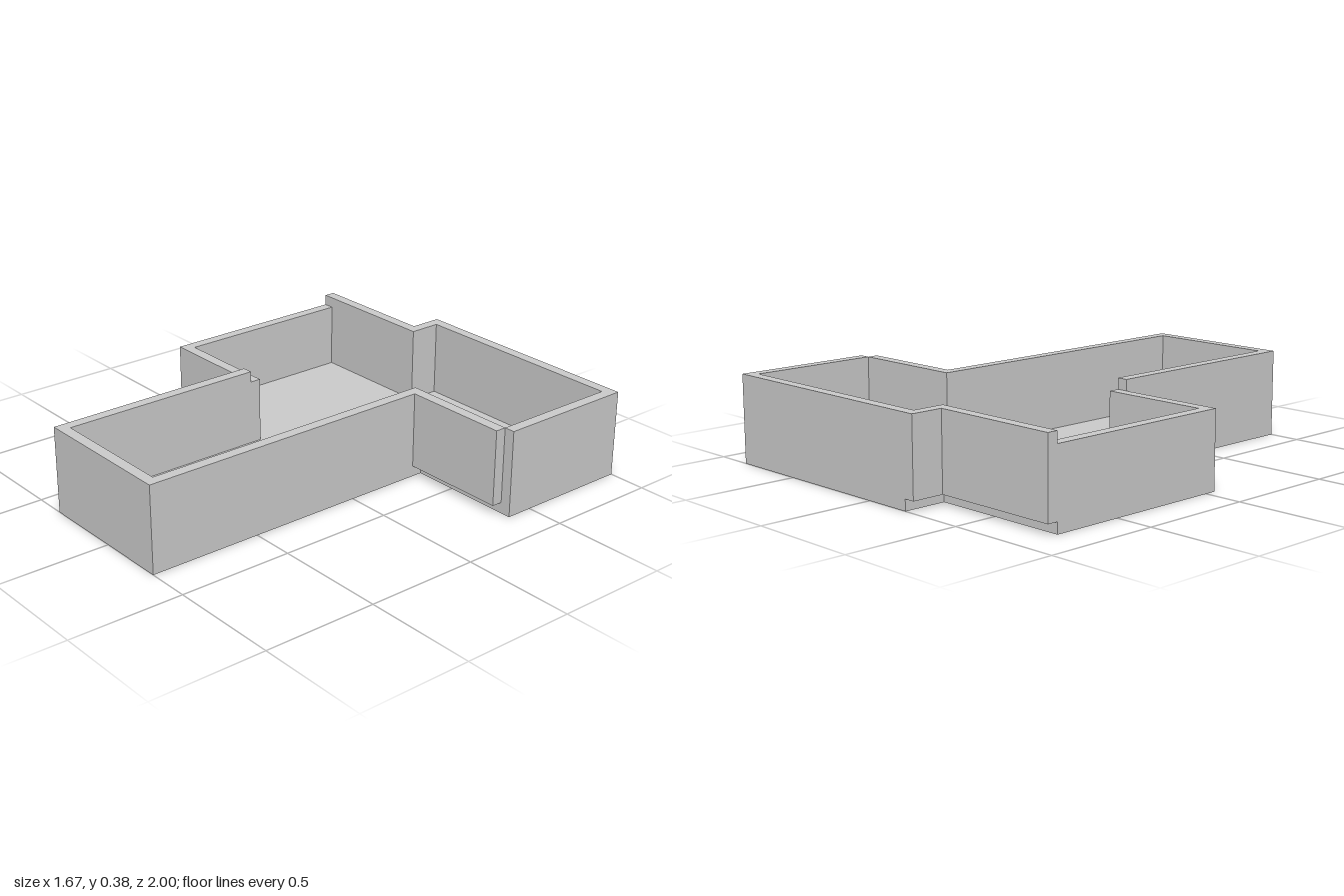
import * as THREE from 'three';

// One module = the wall thickness; the whole plan is laid out in modules.
const U = 1 / 21;
const FULL = 8, LOW = 7, FLOOR = 1;

export function createModel() {
  const group = new THREE.Group();
  const material = new THREE.MeshStandardMaterial({ color: 0xcccccc, flatShading: true });

  const add = (name, geometry) => {
    const mesh = new THREE.Mesh(geometry, material);
    mesh.name = name;
    group.add(mesh);
    return mesh;
  };

  // Floor slab: plan outline as (x, z), extruded upwards
  const outline = [
    [-4.5, -21], [17.5, -21], [17.5, -8], [6.5, -8], [6.5, 21],
    [-7.5, 21], [-7.5, 1], [-17.5, 1], [-17.5, -17], [-4.5, -17],
  ];
  const shape = new THREE.Shape(outline.map(([x, z]) => new THREE.Vector2(x * U, -z * U)));
  const floor = new THREE.ExtrudeGeometry(shape, { depth: FLOOR * U, bevelEnabled: false });
  add('floor', floor.rotateX(-Math.PI / 2));

  // Walls standing on the floor level: name, x0, x1, z0, z1, top height.
  // Some of them hang just outside the slab edge.
  const walls = [
    ['backWall', -4.5, 17.5, -21, -20, FULL],
    ['backStepWall', -5.5, -4.5, -21, -17, FULL],
    ['rightWingBackWall', -17.5, -5.5, -18, -17, FULL],
    ['rightWingEndWall', -17.5, -16.5, -17, 1, LOW],
    ['rightWingFrontWall', -16.5, -6.5, 0, 1, LOW],
    ['legRightWall', -7.5, -6.5, 1, 20, FULL],
    ['legFrontWall', -7.5, 6.5, 20, 21, FULL],
    ['legLeftWall', 5.5, 6.5, -8, 20, FULL],
    ['leftWingFrontWall', 6.5, 16.5, -8, -7, FULL],
    ['leftWingEndWall', 16.5, 17.5, -20, -8, FULL],
  ];
  for (const [name, x0, x1, z0, z1, top] of walls) {
    const wall = add(name, new THREE.BoxGeometry((x1 - x0) * U, (top - FLOOR) * U, (z1 - z0) * U));
    wall.position.set((x0 + x1) / 2 * U, (top + FLOOR) / 2 * U, (z0 + z1) / 2 * U);
  }

  return group;
}
